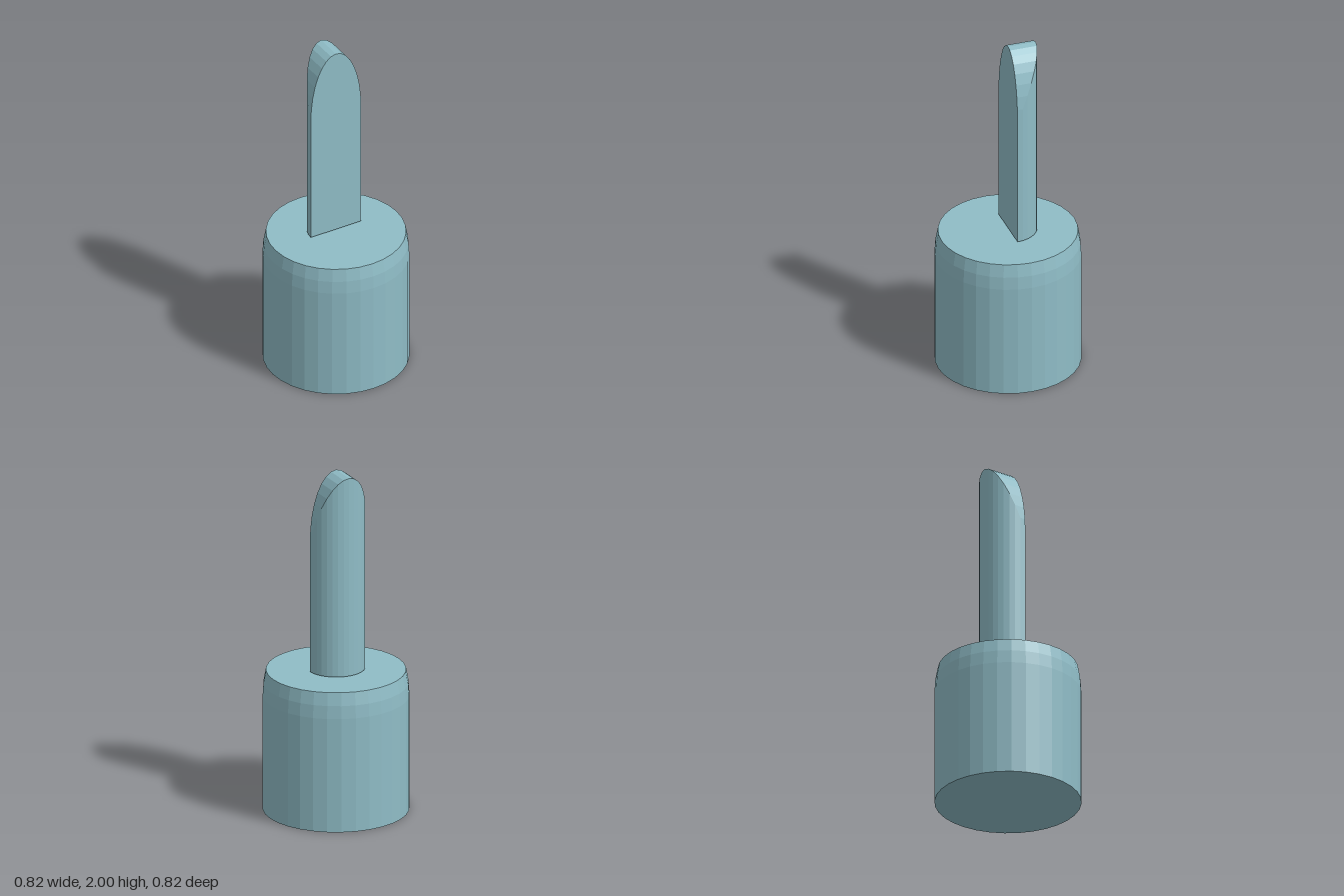
import * as THREE from 'three';

const material = new THREE.MeshStandardMaterial({ color: 0x8fbcc6, flatShading: true });

function addPart(group, name, geometry) {
  const flat = geometry.toNonIndexed();
  flat.computeVertexNormals();
  const mesh = new THREE.Mesh(flat, material);
  mesh.name = name;
  group.add(mesh);
}

// Solid round base with a softly tapered upper rim
function baseGeometry() {
  const profile = [[0, 0], [0.41, 0], [0.41, 0.67], [0.405, 0.745], [0.391, 0.82], [0, 0.82]];
  return new THREE.LatheGeometry(profile.map(([r, y]) => new THREE.Vector2(r, y)), 32);
}

// Half-round blade: flat front, round back, top trimmed to a half ellipse
function bladeGeometry() {
  const radius = 0.163, bottom = 0.83, shoulder = 1.6, tip = 2;
  const geometry = new THREE.BoxGeometry(1, 1, 1, 16, 1, 1);
  const p = geometry.attributes.position;
  for (let i = 0; i < p.count; i++) {
    const angle = p.getX(i) * Math.PI;
    const bulge = Math.cos(angle);
    const y = p.getY(i) > 0 ? shoulder + (tip - shoulder) * bulge : bottom;
    const z = p.getZ(i) > 0 ? 0 : -radius * bulge;
    p.setXYZ(i, radius * Math.sin(angle), y, z);
  }
  return geometry;
}

export function createModel() {
  const group = new THREE.Group();
  group.name = 'halfRoundTool';
  addPart(group, 'base', baseGeometry());
  addPart(group, 'blade', bladeGeometry());
  return group;
}
